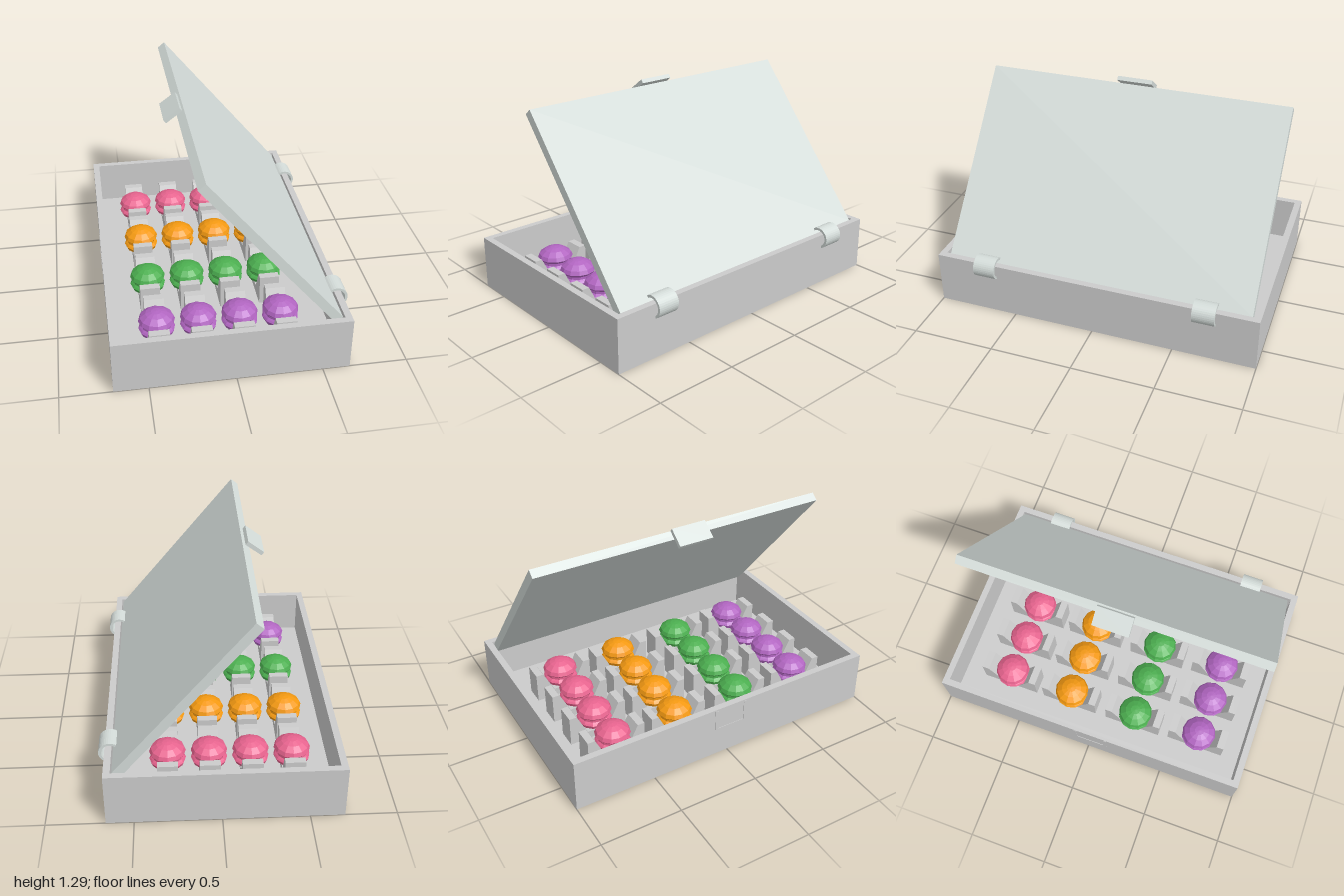
import * as THREE from 'three';

const mat = (color) => new THREE.MeshStandardMaterial({ color, flatShading: true });
const grey = mat(0xcccccc);
const pale = mat(0xd4dcd9);

function add(parent, name, geometry, material, x = 0, y = 0, z = 0) {
  const mesh = new THREE.Mesh(geometry, material);
  mesh.name = name;
  mesh.position.set(x, y, z);
  parent.add(mesh);
  return mesh;
}

const polygon = (pts) => new THREE.Shape(pts.map(([x, y]) => new THREE.Vector2(x, y)));

export function createModel() {
  const model = new THREE.Group();
  model.name = 'sweetBox';

  // Open tray: four walls as one frame, plus a floor
  const rim = polygon([[-0.7, -1], [0.66, -1], [0.66, 1], [-0.7, 1]]);
  rim.holes.push(polygon([[-0.66, -0.96], [-0.66, 0.96], [0.62, 0.96], [0.62, -0.96]]));
  const walls = new THREE.ExtrudeGeometry(rim, { depth: 0.33, bevelEnabled: false });
  walls.rotateX(-Math.PI / 2);
  add(model, 'trayWalls', walls, grey);
  add(model, 'trayFloor', new THREE.BoxGeometry(1.3, 0.05, 1.94), grey, -0.02, 0.025, 0);

  // Lid slab, leaning back over the hinges
  const lowX = 0.612, lowY = 0.32, topX = -0.165, topY = 1.26, thick = 0.055;
  const length = Math.hypot(topX - lowX, topY - lowY);
  const tilt = Math.atan2(topY - lowY, topX - lowX);
  const lid = new THREE.Group();
  lid.name = 'lid';
  lid.position.set(lowX, lowY, 0);
  lid.rotation.z = tilt;
  add(lid, 'lidPanel', new THREE.BoxGeometry(length, thick, 1.89), pale, length / 2, thick / 2, -0.004);
  model.add(lid);

  // Clasp plate at the free edge of the lid
  const clasp = add(model, 'claspPlate', new THREE.BoxGeometry(0.118, 0.026, 0.22), pale, -0.235, 1.245, 0.02);
  clasp.rotation.z = 0.64;

  // Flush catch on the wall below the clasp
  for (const z of [-0.08, 0.12]) {
    add(model, 'catchSide', new THREE.BoxGeometry(0.01, 0.13, 0.02), grey, -0.698, 0.255, z);
  }
  add(model, 'catchBar', new THREE.BoxGeometry(0.01, 0.02, 0.22), grey, -0.698, 0.18, 0.02);

  // Curled hinges
  const curl = new THREE.Shape();
  curl.absarc(0, 0, 0.067, -1.1, 2.2, false);
  curl.absarc(0, 0, 0.052, 2.2, -1.1, true);
  const hingeGeo = new THREE.ExtrudeGeometry(curl, { depth: 0.135, bevelEnabled: false, curveSegments: 9 });
  hingeGeo.translate(0, 0, -0.0675);
  for (const z of [-0.683, 0.678]) add(model, 'hinge', hingeGeo, pale, 0.631, 0.3, z);

  // Notched cradle profile, shared by every sweet
  const cradle = new THREE.ExtrudeGeometry(
    polygon([[-0.185, 0.04], [0.185, 0.04], [0.185, 0.24], [0.14, 0.24],
      [0.07, 0.1], [-0.07, 0.1], [-0.14, 0.24], [-0.185, 0.24]]),
    { depth: 0.12, bevelEnabled: false });
  cradle.rotateY(-Math.PI / 2);
  cradle.translate(0.06, 0, 0);

  // Two domed shells around a narrow filling
  const half = [[0.09, 0.008], [0.1, 0.016], [0.108, 0.026], [0.098, 0.05], [0.064, 0.075], [0.03, 0.087], [0, 0.09]];
  const profile = [
    ...half.map(([r, y]) => new THREE.Vector2(r, -y)).reverse(),
    ...half.map(([r, y]) => new THREE.Vector2(r, y)),
  ];
  const sweet = new THREE.LatheGeometry(profile, 12);

  const rows = [
    { z: -0.63, x: -0.43, color: 0xe8648f },
    { z: -0.21, x: -0.43, color: 0xf59a12 },
    { z: 0.233, x: -0.428, color: 0x4caf50 },
    { z: 0.665, x: -0.417, color: 0xb266c2 },
  ];
  for (const row of rows) {
    const shell = mat(row.color);
    for (let i = 0; i < 4; i++) {
      const x = row.x + i * 0.245;
      add(model, 'cradle', cradle, grey, x, 0, row.z - 0.003);
      add(model, 'sweet', sweet, shell, x, 0.18, row.z);
    }
  }
  return model;
}
